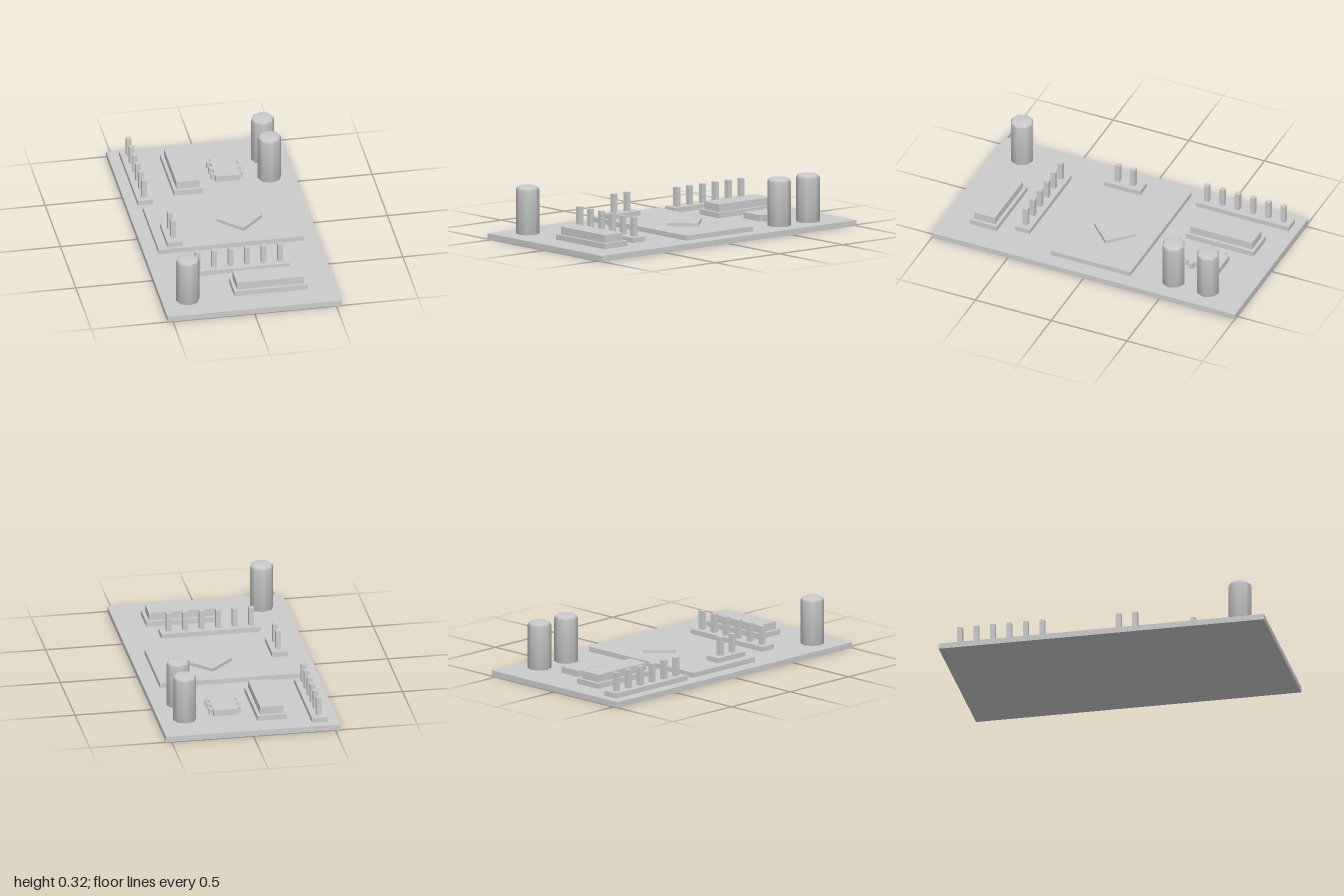
import * as THREE from 'three';

const TOP = 0.035; // top surface of the main board
const material = new THREE.MeshStandardMaterial({ color: 0xcccccc });

export function createModel() {
  const model = new THREE.Group();

  const add = (parent, name, geometry, x, y, z) => {
    const mesh = new THREE.Mesh(geometry, material);
    mesh.name = name;
    mesh.position.set(x, y, z);
    parent.add(mesh);
    return mesh;
  };
  // Box whose underside rests at height y
  const box = (parent, name, w, h, d, x, y, z) =>
    add(parent, name, new THREE.BoxGeometry(w, h, d), x, y + h / 2, z);
  const group = (name, x, y, z, turn = 0) => {
    const g = new THREE.Group();
    g.name = name;
    g.position.set(x, y, z);
    g.rotation.y = turn;
    model.add(g);
    return g;
  };

  // Main board and the raised module with its diamond-set chip
  box(model, 'mainBoard', 1.066, TOP, 2, 0, 0, 0);
  box(model, 'moduleBoard', 0.887, 0.03, 0.525, -0.004, TOP, -0.005);
  box(model, 'processorChip', 0.197, 0.02, 0.197, 0.096, 0.065, -0.01).rotation.y = Math.PI / 4;

  // Pin headers: a strip with a row of square pins
  const pinHeader = (name, count, length, x, y, z, turn) => {
    const g = group(name, x, y, z, turn);
    box(g, 'headerStrip', length, 0.03, 0.097, 0, 0, 0);
    for (let i = 0; i < count; i++) {
      box(g, 'pin', 0.031, 0.115, 0.031, (i - (count - 1) / 2) * 0.101, 0.03, 0);
    }
  };
  pinHeader('backPinHeader', 6, 0.61, -0.416, TOP, -0.64, Math.PI / 2);
  pinHeader('frontPinHeader', 6, 0.61, -0.005, TOP, 0.508, 0);
  pinHeader('modulePinHeader', 2, 0.235, -0.342, 0.065, 0.117, Math.PI / 2);

  // Crystals: a wide base under a narrower can
  const crystal = (name, x, z, turn) => {
    const g = group(name, x, TOP, z, turn);
    box(g, 'crystalBase', 0.45, 0.033, 0.18, 0, 0, 0);
    box(g, 'crystalCan', 0.41, 0.047, 0.14, 0, 0.033, 0);
  };
  crystal('backCrystal', -0.14, -0.635, Math.PI / 2);
  crystal('frontCrystal', 0.132, 0.742, 0);

  // Small chip: one extruded outline with three legs per side
  const halfWidth = 0.074, halfLength = 0.111, reach = 0.097, legHalf = 0.013;
  const side = [[halfWidth, -halfLength]];
  for (const c of [-0.069, 0, 0.069]) {
    side.push([halfWidth, c - legHalf], [reach, c - legHalf], [reach, c + legHalf], [halfWidth, c + legHalf]);
  }
  side.push([halfWidth, halfLength]);
  const outline = [...side, ...side.map(([x, y]) => [-x, -y])].map(([x, y]) => new THREE.Vector2(x, y));
  const chip = new THREE.ExtrudeGeometry(new THREE.Shape(outline), { depth: 0.038, bevelEnabled: false });
  chip.rotateX(-Math.PI / 2);
  add(model, 'smallChip', chip, 0.122, TOP, -0.633);

  // Capacitors: eight-sided, smoothly shaded, with rounded top rims
  const profile = [[0, 0], [0.071, 0], [0.071, 0.268], [0.067, 0.281], [0.056, 0.289], [0, 0.29]]
    .map(([r, y]) => new THREE.Vector2(r, y));
  const can = new THREE.LatheGeometry(profile, 8);
  add(model, 'capacitorBack', can, 0.376, TOP, -0.752);
  add(model, 'capacitorMiddle', can, 0.376, TOP, -0.525);
  add(model, 'capacitorFront', can, -0.376, TOP, 0.818);

  return model;
}
